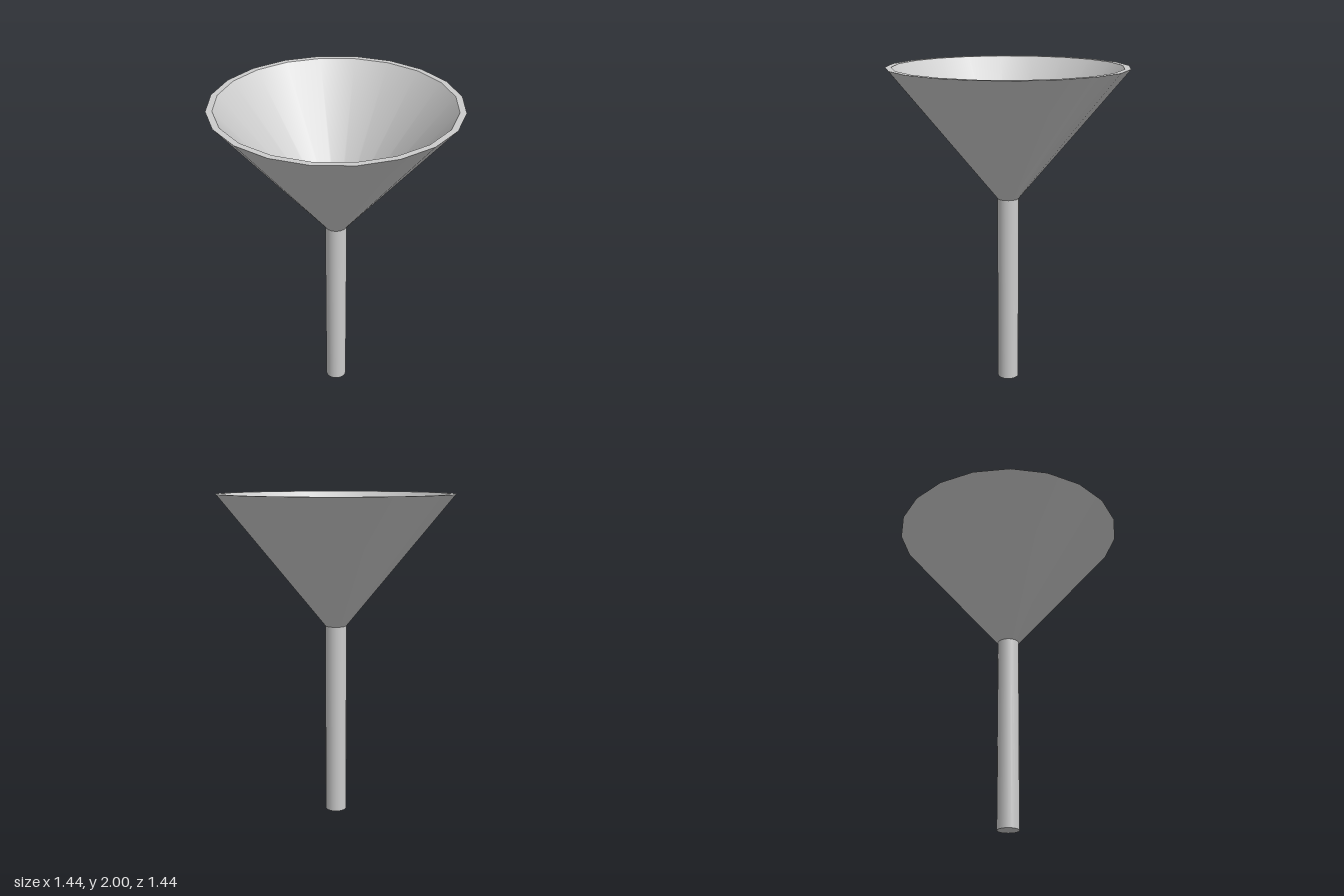
import * as THREE from 'three';

const SIDES = 20;

export function createModel() {
  const model = new THREE.Group();
  model.name = 'funnel';
  const material = new THREE.MeshStandardMaterial({ color: 0xcccccc });

  // Each stretch of a profile is its own band, so corners between bands stay sharp.
  // Profiles run up the outside and down the inside.
  function turnedPart(name, profile, bandNames) {
    const part = new THREE.Group();
    part.name = name;
    const points = profile.map(([r, y]) => new THREE.Vector2(r, y));
    bandNames.forEach((bandName, i) => {
      const band = new THREE.Mesh(new THREE.LatheGeometry([points[i], points[i + 1]], SIDES), material);
      band.name = bandName;
      part.add(band);
    });
    model.add(part);
  }

  // Hollow cone with a flat rim and a small flat floor
  turnedPart('cone',
    [[0.066, 1.2], [0.72, 2], [0.683, 2], [0.058, 1.23], [0, 1.23]],
    ['coneOutside', 'rim', 'coneInside', 'coneFloor']);

  // Straight stem, closed at the bottom
  turnedPart('stem',
    [[0, 0], [0.066, 0], [0.066, 1.2]],
    ['stemEnd', 'stemWall']);

  return model;
}
